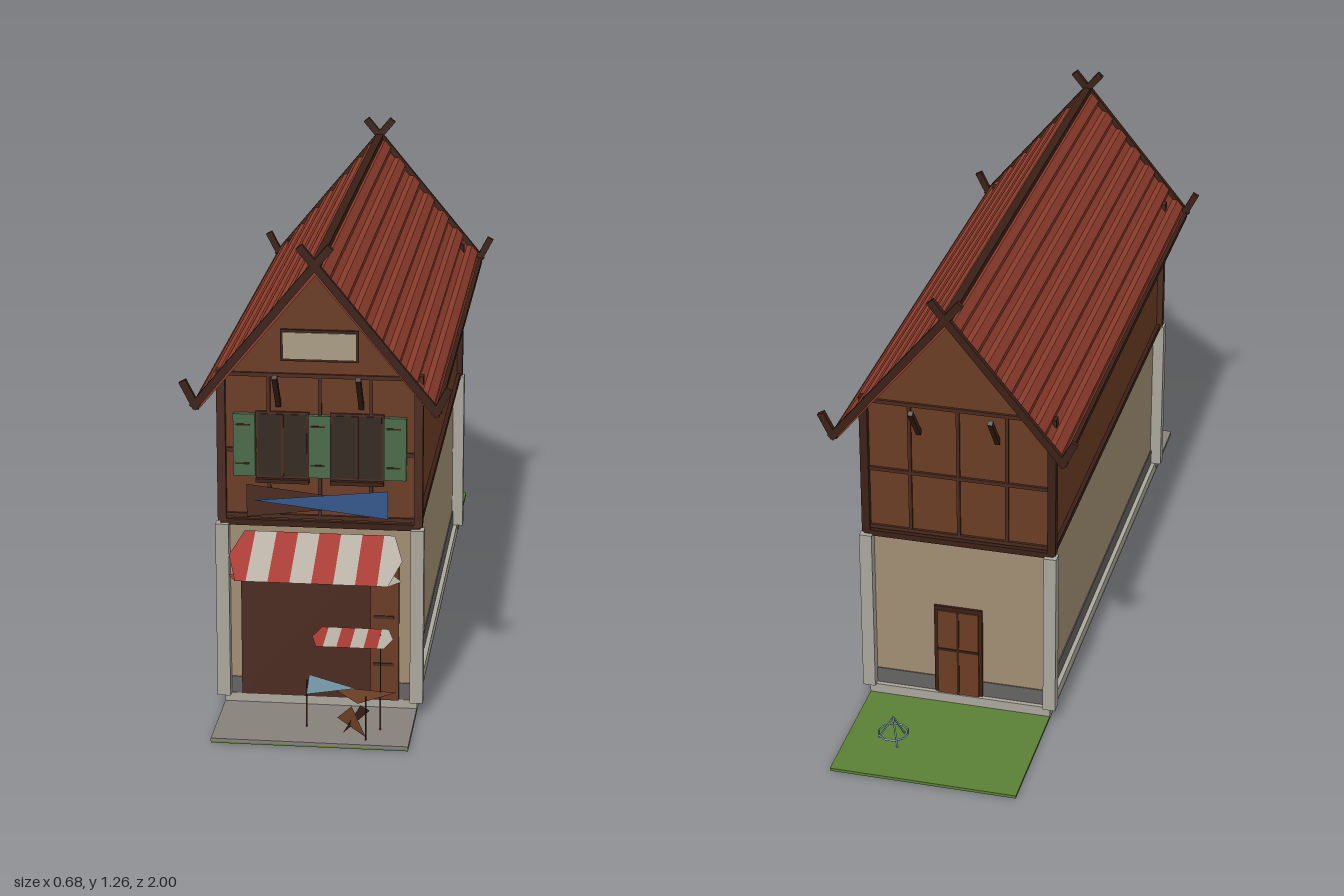
import * as THREE from 'three';

const C = { tan: 0xa08c72, stone: 0xaaa69c, plinth: 0x656361, paving: 0x85807a, wood: 0x6a3c24, dark: 0x3a2015,
  door: 0x4a2a1e, roof: 0x8a3b2a, green: 0x4a6a4a, glass: 0x33281f, cream: 0xa89c84, red: 0xa83a34,
  white: 0xb8b0a4, blue: 0x34568a, grass: 0x5a7f35, steel: 0x6d8f9c };
const mats = {};
const mat = (c) => mats[c] ??= new THREE.MeshStandardMaterial({ color: C[c], flatShading: true, side: THREE.DoubleSide });

export function createModel() {
  const root = new THREE.Group();
  const add = (name, geo, c, parent = root) => {
    const m = new THREE.Mesh(geo, mat(c));
    m.name = name;
    parent.add(m);
    return m;
  };
  // box given by its extents
  const box = (name, c, x0, x1, y0, y1, z0, z1) => add(name,
    new THREE.BoxGeometry(x1 - x0, y1 - y0, z1 - z0).translate((x0 + x1) / 2, (y0 + y1) / 2, (z0 + z1) / 2), c);
  // square timber between two points
  const beam = (name, c, a, b, w, h = w) => {
    const A = new THREE.Vector3(...a), B = new THREE.Vector3(...b);
    const m = add(name, new THREE.BoxGeometry(w, h, A.distanceTo(B)), c);
    m.position.copy(A).add(B).multiplyScalar(0.5);
    m.lookAt(B);
    return m;
  };
  // thin flat sheet from its corners
  const sheet = (name, c, ...pts) => {
    const v = [];
    for (let i = 1; i < pts.length - 1; i++) v.push(...pts[0], ...pts[i], ...pts[i + 1]);
    const g = new THREE.BufferGeometry();
    g.setAttribute('position', new THREE.Float32BufferAttribute(v, 3));
    g.computeVertexNormals();
    return add(name, g, c);
  };
  const extrude = (pts, depth, z) => new THREE.ExtrudeGeometry(
    new THREE.Shape(pts.map((p) => new THREE.Vector2(...p))), { depth, bevelEnabled: false }).translate(0, 0, z);

  // ground
  box('lawn', 'grass', -0.25, 0.25, 0, 0.008, -1, -0.62);
  box('groundBase', 'grass', -0.25, 0.25, 0, 0.004, -0.62, 1);
  box('pavement', 'paving', -0.25, 0.25, 0.004, 0.012, -0.62, 1);
  box('foundation', 'stone', -0.25, 0.25, 0.008, 0.035, -0.63, 0.755);

  // lower storey
  box('lowerWalls', 'tan', -0.235, 0.235, 0.035, 0.5, -0.615, 0.75);
  box('plinth', 'plinth', -0.238, 0.238, 0.035, 0.08, -0.618, 0.753);
  for (const s of [-1, 1]) for (const z of [-0.625, 0.76])
    box('stoneCorner', 'stone', s * 0.25 - 0.017, s * 0.25 + 0.017, 0.035, 0.505, z - 0.016, z + 0.016);

  // upper storey with gables
  add('upperWalls', extrude([[-0.245, 0.5], [0.245, 0.5], [0.245, 0.89], [0, 1.185], [-0.245, 0.89]], 1.365, -0.615), 'wood');
  box('floorBeam', 'dark', -0.256, 0.256, 0.5, 0.516, -0.628, 0.762);
  for (const s of [-1, 1]) for (const z of [-0.617, 0.752])
    box('cornerPost', 'dark', s * 0.251 - 0.011, s * 0.251 + 0.011, 0.51, 0.91, z - 0.012, z + 0.012).material = mat(z > 0 ? 'door' : 'dark');

  // gable timbers, front and back
  for (const [z, d] of [[0.75, 1], [-0.615, -1]]) {
    const t = z + d * 0.002;
    for (const y of [0.526, 0.7, 0.9]) beam('gableRail', 'door', [-0.24, y, t], [0.24, y, t], 0.01, 0.01);
    for (const x of [-0.13, 0, 0.13]) beam('gableStud', 'door', [x, 0.52, t], [x, 0.9, t], 0.009);
    for (const x of [-0.105, 0.105]) beam('roofStrut', 'dark', [x, 0.82, z], [x, 0.915, z + d * 0.075], 0.013);
  }

  // ribbed roof, one profile run lengthwise
  const eave = [0.305, 0.835], top = 1.2, len = Math.hypot(0.305, 0.365);
  const n = [0.365 / len, 0.305 / len];
  const at = (u, h) => [eave[0] * u + n[0] * h, top + (eave[1] - top) * u + n[1] * h];
  const ribs = 7, half = [];
  for (let i = 0; i < ribs; i++)
    for (const [f, h] of [[0.05, 0.001], [0.2, 0.011], [0.6, 0.011], [0.75, 0.001]]) half.push(at((i + f) / ribs, h));
  half.push(at(1, 0.001));
  const inner = [at(1, -0.012), [0, top - 0.019]];
  const mirror = (p) => [-p[0], p[1]];
  add('roof', extrude([[0, top + 0.005], ...half, ...inner, ...[inner[0], ...half.slice().reverse()].map(mirror)], 1.55, -0.71), 'roof');
  beam('ridgeBeam', 'dark', [0, 1.203, -0.72], [0, 1.203, 0.845], 0.022, 0.02);

  // bargeboards crossing at the ridge, with upturned eave horns
  for (const s of [-1, 1]) {
    beam('eaveBeam', 'dark', [s * 0.302, 0.838, -0.72], [s * 0.302, 0.838, 0.845], 0.014);
    for (const z of [-0.722, 0.847]) {
      beam('bargeboard', 'dark', [-s * 0.039, 1.257, z], [s * 0.308, 0.837, z], 0.014, 0.02);
      beam('eaveHorn', 'dark', [s * 0.298, 0.837, z], [s * 0.333, 0.905, z], 0.014, 0.019);
    }
  }

  // upper windows, shutters and gable panel
  for (const s of [-1, 1]) {
    const x = s * 0.095;
    box('windowFrame', 'door', x - 0.068, x + 0.068, 0.628, 0.804, 0.745, 0.757);
    box('windowPane', 'glass', x - 0.062, x + 0.062, 0.634, 0.798, 0.747, 0.759);
    box('windowMullion', 'door', x - 0.003, x + 0.003, 0.634, 0.798, 0.75, 0.762);
    box('windowSill', 'dark', x - 0.068, x + 0.068, 0.618, 0.628, 0.745, 0.77);
  }
  for (const x of [-0.192, 0, 0.192]) {
    box('shutter', 'green', x - 0.028, x + 0.028, 0.634, 0.798, 0.75, 0.765);
    for (const y of [0.665, 0.768]) box('shutterHinge', 'dark', x - 0.022, x + 0.014, y, y + 0.004, 0.764, 0.767);
  }
  box('gablePanelFrame', 'dark', -0.099, 0.099, 0.938, 1.02, 0.745, 0.757);
  box('gablePanel', 'cream', -0.092, 0.092, 0.945, 1.013, 0.75, 0.76);

  // pennant-shaped sign
  sheet('signBack', 'door', [-0.187, 0.612, 0.764], [-0.187, 0.524, 0.764], [0.175, 0.57, 0.764]);
  sheet('signFront', 'blue', [-0.168, 0.57, 0.768], [0.175, 0.531, 0.768], [0.175, 0.606, 0.768]);

  // shop front and back door
  box('shopOpening', 'door', -0.205, 0.13, 0.035, 0.42, 0.74, 0.757);
  box('shopDoor', 'wood', 0.13, 0.203, 0.035, 0.42, 0.74, 0.762);
  for (const y of [0.13, 0.26]) box('shopDoorRail', 'door', 0.137, 0.19, y, y + 0.008, 0.76, 0.765);
  box('backDoorFrame', 'dark', -0.062, 0.07, 0.035, 0.305, -0.622, -0.61);
  box('backDoor', 'wood', -0.052, 0.06, 0.035, 0.293, -0.626, -0.61);
  box('backDoorStile', 'dark', 0.001, 0.007, 0.035, 0.293, -0.629, -0.61);
  box('backDoorRail', 'dark', -0.052, 0.06, 0.17, 0.177, -0.629, -0.61);

  // striped awning and its returning lower flap; the end stripes are pointed
  const stripes = (name, x0, w, count, a, b) => {
    const mid = a.map((v, i) => (v + b[i]) / 2);
    for (let i = 0; i < count; i++) {
      const l = x0 + i * w, r = l + w, c = i % 2 ? 'white' : 'red';
      if (i === 0) sheet(name, c, [l, ...mid], [r - w / 2, ...b], [r, ...b], [r, ...a], [r - w / 2, ...a]);
      else if (i === count - 1) sheet(name, c, [r, ...mid], [l + w / 2, ...a], [l, ...a], [l, ...b], [l + w / 2, ...b]);
      else sheet(name, c, [l, ...a], [l, ...b], [r, ...b], [r, ...a]);
    }
  };
  stripes('awning', -0.22, 0.055, 8, [0.487, 0.765], [0.417, 0.945]);
  stripes('awningFlap', -0.22, 0.055, 8, [0.416, 0.944], [0.388, 0.79]);

  // small market stall
  stripes('stallCanopy', 0.0, 0.034, 6, [0.27, 0.86], [0.268, 0.99]);
  for (const [x, z, h] of [[-0.018, 0.9, 0.14], [0.17, 0.9, 0.27], [0.14, 0.97, 0.13]])
    beam('stallPost', 'dark', [x, 0.012, z], [x, h, z], 0.003);
  sheet('stallCloth', 'steel', [-0.015, 0.142, 0.87], [0.11, 0.13, 0.92], [-0.01, 0.13, 0.97]);
  sheet('stallShelf', 'wood', [0.04, 0.115, 0.88], [0.21, 0.115, 0.9], [0.12, 0.11, 0.97]);
  sheet('stallBoard', 'wood', [0.06, 0.04, 0.9], [0.14, 0.02, 0.97], [0.1, 0.085, 0.93]);
  sheet('stallBoard', 'door', [0.08, 0.02, 0.95], [0.14, 0.05, 0.87], [0.12, 0.08, 0.91]);

  // ring with spokes on the lawn
  const ring = add('lawnRing', new THREE.TorusGeometry(0.04, 0.003, 4, 10).rotateX(Math.PI / 2), 'steel');
  ring.position.set(0.125, 0.032, -0.835);
  for (let i = 0; i < 3; i++) {
    const a = i * Math.PI * 2 / 3;
    beam('lawnSpoke', 'steel', [0.125 + 0.04 * Math.cos(a), 0.01, -0.835 + 0.04 * Math.sin(a)], [0.125, 0.08, -0.835], 0.004);
  }
  return root;
}
